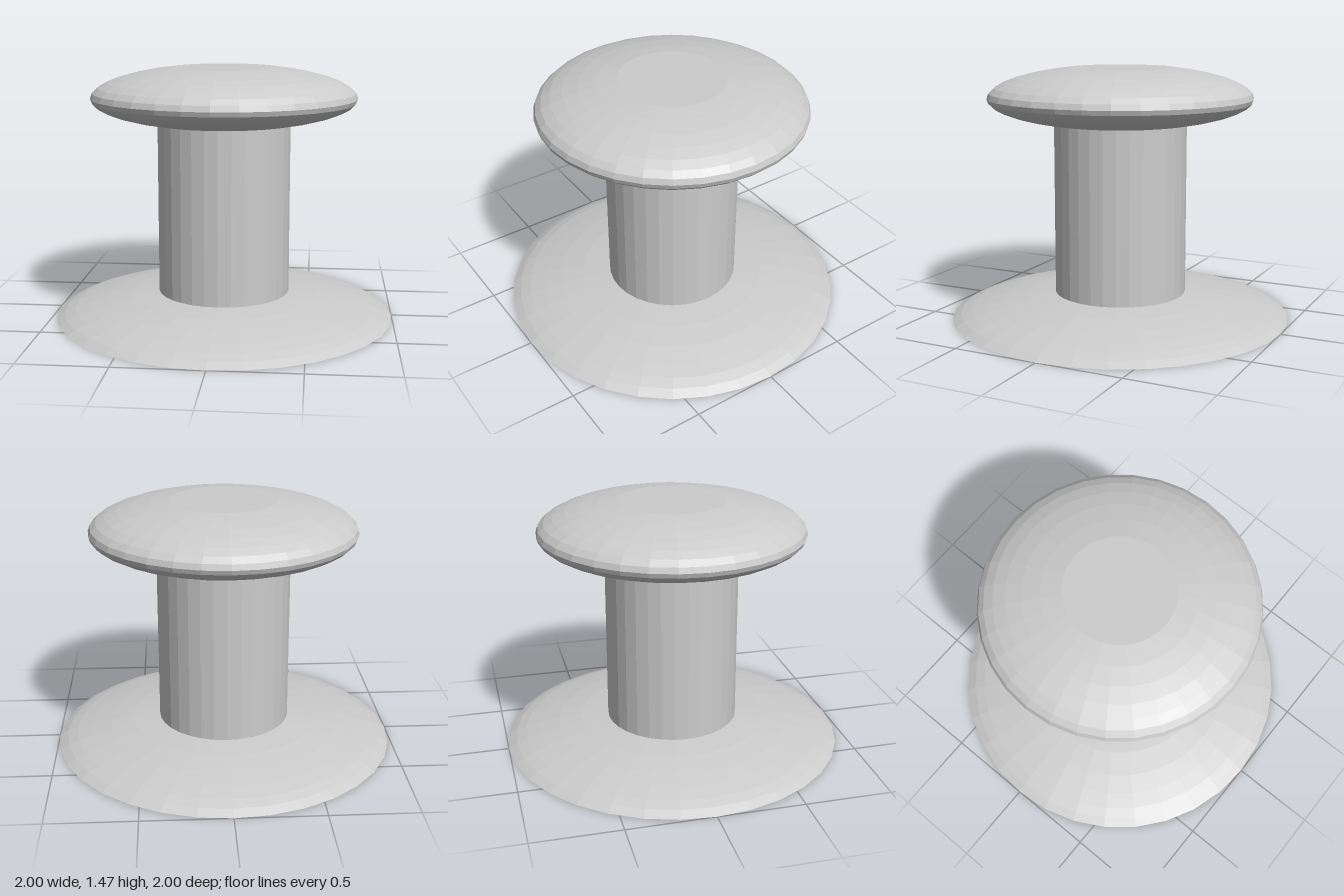
import * as THREE from 'three';

const SIDES = 32;

export function createModel() {
  const group = new THREE.Group();
  const material = new THREE.MeshStandardMaterial({ color: 0xcccccc, flatShading: true });
  const shellMaterial = material.clone();
  shellMaterial.side = THREE.DoubleSide;

  const add = (name, geometry, mat = material) => {
    const mesh = new THREE.Mesh(geometry, mat);
    mesh.name = name;
    group.add(mesh);
    return mesh;
  };
  const lathe = (points) =>
    new THREE.LatheGeometry(points.map(([r, y]) => new THREE.Vector2(r, y)), SIDES);

  // Thin domed foot, hollow underneath
  add('baseFlange', lathe([
    [1, 0], [0.95, 0.028], [0.89, 0.05], [0.8, 0.073], [0.69, 0.098],
    [0.55, 0.122], [0.38, 0.14],
  ]), shellMaterial);

  // Straight stem, its closed lower end sitting inside the hollow foot
  const bottom = 0.07, top = 1.16;
  add('stem', new THREE.CylinderGeometry(0.388, 0.388, top - bottom, SIDES))
    .position.y = (top + bottom) / 2;

  // Lens-shaped head: elliptical arcs below and above the rim, flat top
  const rim = 0.773, rimY = 1.29, steps = 7;
  const arc = (endRadius, height, t) => {
    const angle = Math.acos(endRadius / rim) * t;
    return [rim * Math.cos(angle), rimY + height * Math.sin(angle)];
  };
  const profile = [[0, 1.14]];
  for (let i = steps; i > 0; i--) profile.push(arc(0.36, -0.17, i / steps));
  for (let i = 0; i <= steps; i++) profile.push(arc(0.308, 0.191, i / steps));
  profile.push([0, profile[profile.length - 1][1]]);
  add('head', lathe(profile));

  return group;
}
